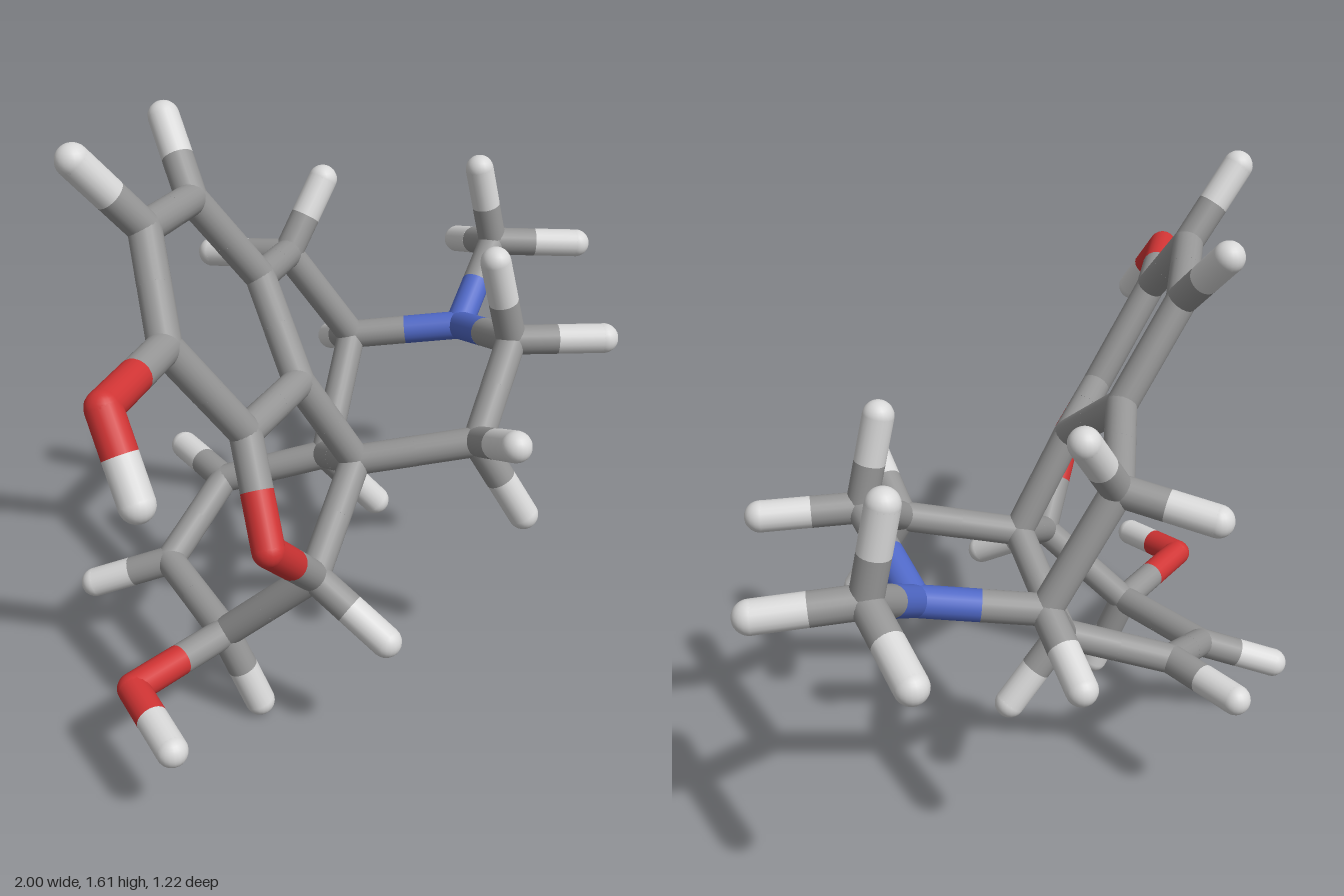
import * as THREE from 'three';

const RADIUS = 0.04;
const SIDES = 20;

// Atom positions: first letter of each name is the element
const ATOMS = {
  // flat six-sided ring
  C1: [-0.49, 1.39, -0.15], C2: [-0.205, 1.35, -0.255], C3: [-0.05, 1.11, -0.17],
  C4: [-0.17, 0.92, 0.04], C5: [-0.46, 0.93, 0.1], C6: [-0.62, 1.19, 0.01],
  // upper bridge and nitrogen ring
  C7: [0.24, 1.045, -0.3], C8: [0.395, 0.765, -0.19], C9: [0.81, 0.97, 0.03],
  C10: [0.385, 0.9, 0.335], C11: [0.13, 0.725, 0.39], C12: [-0.04, 0.66, 0.125],
  // lower ring
  C13: [0.145, 0.51, -0.105], C14: [-0.005, 0.415, -0.355], C15: [-0.275, 0.29, -0.335],
  C16: [-0.41, 0.262, -0.03], C17: [-0.33, 0.488, 0.2],
  N1: [0.557, 0.805, 0.073],
  O1: [-0.915, 1.2, 0.105], O2: [-0.557, 0.705, 0.237], O3: [-0.72, 0.265, -0.07],
};

// Pairs of joined atoms
const BONDS = [
  ['C1', 'C2'], ['C2', 'C3'], ['C3', 'C4'], ['C4', 'C5'], ['C5', 'C6'], ['C6', 'C1'],
  ['C3', 'C7'], ['C7', 'C8'], ['C8', 'N1'], ['N1', 'C9'], ['N1', 'C10'],
  ['C10', 'C11'], ['C11', 'C12'], ['C12', 'C4'], ['C12', 'C13'], ['C13', 'C8'],
  ['C13', 'C14'], ['C14', 'C15'], ['C15', 'C16'], ['C16', 'C17'], ['C17', 'C12'],
  ['C17', 'O2'], ['O2', 'C5'], ['C6', 'O1'], ['C16', 'O3'],
];

// Hydrogen tips grouped by the atom that carries them
const HYDROGENS = {
  C1: [[-0.622, 1.57, -0.225]],
  C2: [[-0.13, 1.512, -0.4]],
  C7: [[0.375, 1.226, -0.278], [0.2, 1.005, -0.538]],
  C8: [[0.52, 0.668, -0.35]],
  C9: [[0.768, 1.2, -0.003], [0.962, 0.96, 0.225], [0.935, 0.892, -0.162]],
  C10: [[0.328, 1.137, 0.305], [0.537, 0.9, 0.53]],
  C11: [[-0.005, 0.834, 0.57], [0.2, 0.507, 0.5]],
  C13: [[0.265, 0.33, -0.012]],
  C14: [[0.077, 0.413, -0.572]],
  C15: [[-0.388, 0.207, -0.517]],
  C16: [[-0.365, 0.043, 0.045]],
  C17: [[-0.312, 0.367, 0.407]],
  O1: [[-0.957, 1.033, 0.22]],
  O3: [[-0.81, 0.235, 0.132]],
};

export function createModel() {
  const model = new THREE.Group();
  model.name = 'moleculeStickModel';

  const material = (name, color) => {
    const m = new THREE.MeshStandardMaterial({ color });
    m.name = name;
    return m;
  };
  const materials = {
    C: material('carbon grey', 0x959595),
    H: material('hydrogen white', 0xd8d8d8),
    O: material('oxygen red', 0xd03434),
    N: material('nitrogen blue', 0x5069c8),
  };
  const labels = { C: 'carbon', H: 'hydrogen', O: 'oxygen', N: 'nitrogen' };

  const jointGeometry = new THREE.SphereGeometry(RADIUS, SIDES, 14);
  const stickGeometry = new THREE.CylinderGeometry(RADIUS, RADIUS, 1, SIDES, 1, true);
  const up = new THREE.Vector3(0, 1, 0);

  // Rounded joint at an atom
  function addJoint(element, position) {
    const joint = new THREE.Mesh(jointGeometry, materials[element]);
    joint.name = labels[element] + 'Joint';
    joint.position.copy(position);
    model.add(joint);
  }

  // Half stick from an atom to the middle of its bond
  function addHalf(element, from, to) {
    const half = new THREE.Mesh(stickGeometry, materials[element]);
    const direction = to.clone().sub(from);
    half.name = labels[element] + 'Stick';
    half.position.copy(from).lerp(to, 0.5);
    half.scale.y = direction.length();
    half.quaternion.setFromUnitVectors(up, direction.normalize());
    model.add(half);
  }

  function addBond(elementA, a, elementB, b) {
    const middle = a.clone().lerp(b, 0.5);
    addHalf(elementA, a, middle);
    addHalf(elementB, b, middle);
  }

  const place = {};
  for (const [name, p] of Object.entries(ATOMS)) {
    place[name] = new THREE.Vector3(...p);
    addJoint(name[0], place[name]);
  }
  for (const [a, b] of BONDS) addBond(a[0], place[a], b[0], place[b]);

  for (const [owner, tips] of Object.entries(HYDROGENS)) {
    for (const tip of tips) {
      const end = new THREE.Vector3(...tip);
      addJoint('H', end);
      addBond(owner[0], place[owner], 'H', end);
    }
  }
  return model;
}
